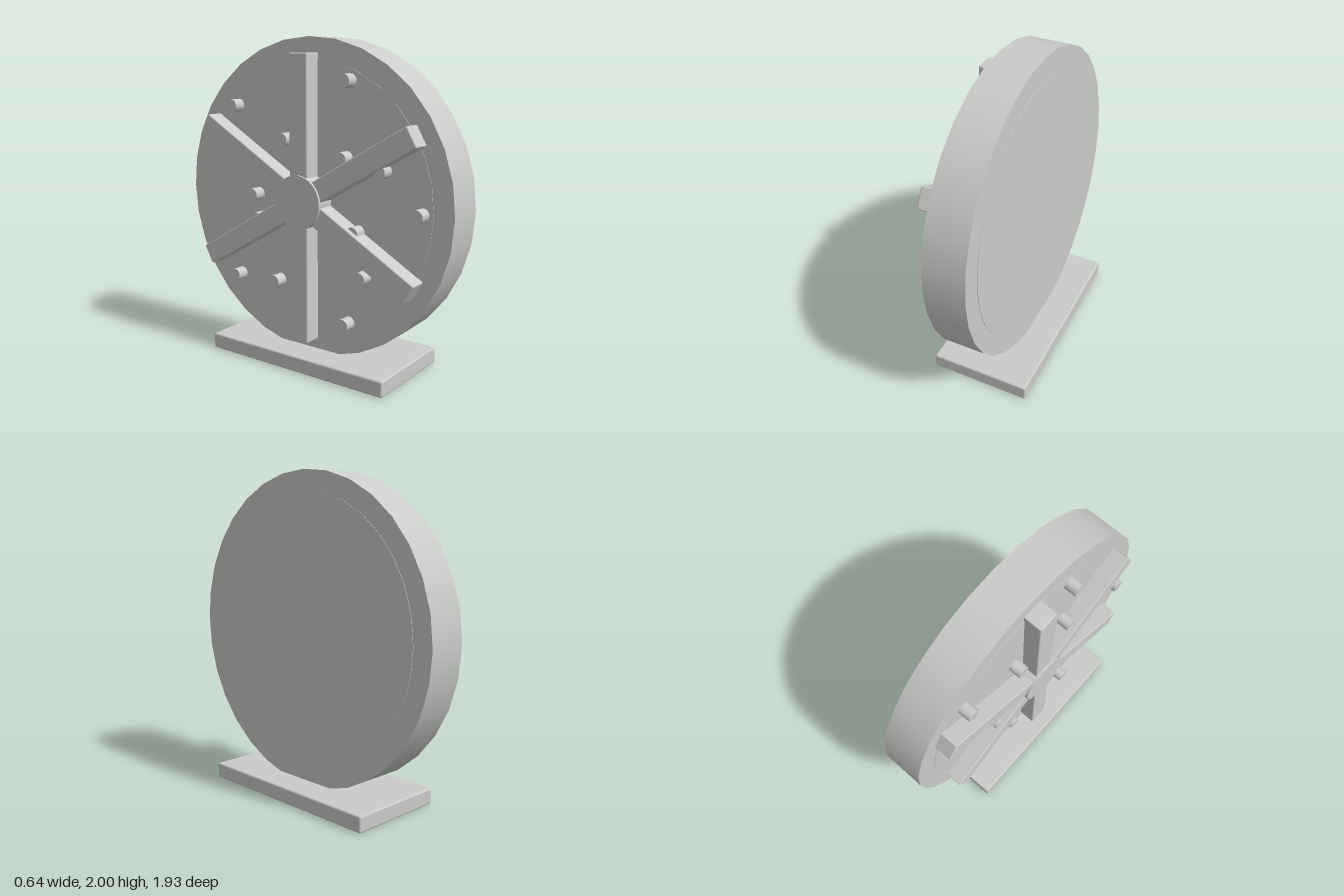
import * as THREE from 'three';
import { RoundedBoxGeometry } from 'three/addons/geometries/RoundedBoxGeometry.js';

const AXLE_Y = 1.035;

export function createModel() {
  const model = new THREE.Group();
  model.name = 'wheelOnStand';
  const material = new THREE.MeshStandardMaterial({ color: 0xcccccc });

  const add = (parent, name, geometry, x = 0, y = 0, z = 0) => {
    const mesh = new THREE.Mesh(geometry, material);
    mesh.name = name;
    mesh.position.set(x, y, z);
    parent.add(mesh);
    return mesh;
  };
  // Disc or peg lying along x, between x0 and x1
  const axial = (radius, x0, x1, sides) =>
    new THREE.CylinderGeometry(radius, radius, x1 - x0, sides)
      .rotateZ(Math.PI / 2)
      .translate((x0 + x1) / 2, 0, 0);

  // Stand
  add(model, 'base', new RoundedBoxGeometry(0.64, 0.1, 1.29, 2, 0.012), 0, 0.05, 0);

  const wheel = new THREE.Group();
  wheel.name = 'wheel';
  wheel.position.y = AXLE_Y;
  model.add(wheel);

  // Drum with a barely raised face plate on both sides
  add(wheel, 'drum', axial(0.965, -0.13, 0.13, 32));
  add(wheel, 'facePlate', axial(0.84, -0.133, 0.133, 32));

  // Hub cap
  add(wheel, 'hub', axial(0.163, -0.255, -0.12, 32));

  // Six spokes, as three bars crossing at the hub
  for (let i = 0; i < 3; i++) {
    const bar = add(wheel, 'spokeBar', new RoundedBoxGeometry(0.12, 1.74, 0.13, 2, 0.008), -0.18);
    bar.rotation.x = (i * Math.PI) / 3;
  }

  // Sixteen pegs, stepping through three radii around the face
  const radii = [0.39, 0.58, 0.775];
  const peg = axial(0.04, -0.21, -0.12, 16);
  for (let i = 0; i < 16; i++) {
    const angle = (i * Math.PI) / 8;
    const r = radii[i % 3];
    add(wheel, 'peg', peg, 0, r * Math.sin(angle), -r * Math.cos(angle));
  }

  return model;
}
